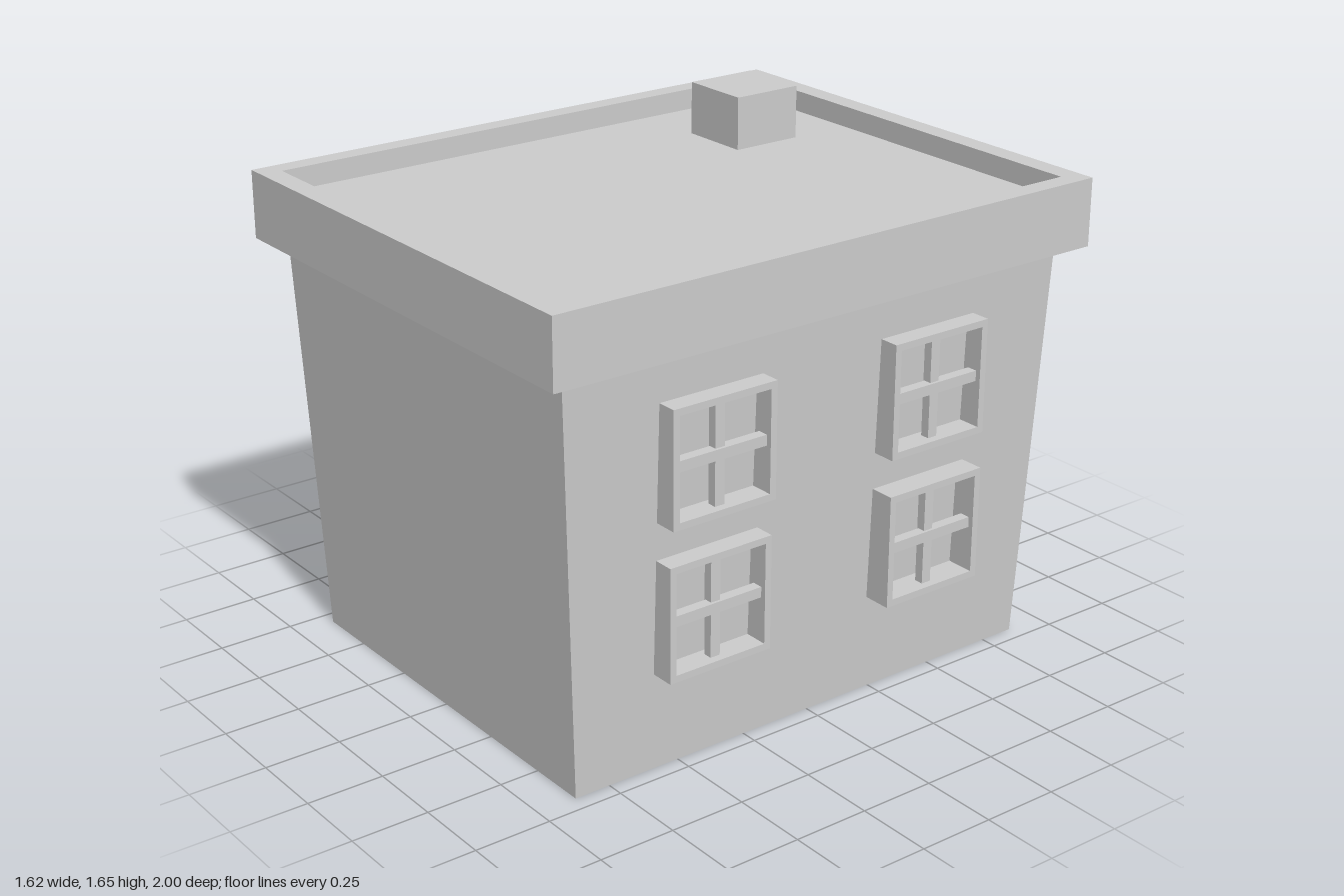
import * as THREE from 'three';

const grey = new THREE.MeshStandardMaterial({ color: 0xcccccc, flatShading: true });
const greyOpen = new THREE.MeshStandardMaterial({ color: 0xcccccc, flatShading: true, side: THREE.DoubleSide });

function addMesh(parent, name, geometry, material = grey) {
  const mesh = new THREE.Mesh(geometry, material);
  mesh.name = name;
  parent.add(mesh);
  return mesh;
}

// Rectangular shell through a list of [halfX, halfZ, y] sections, open at both ends
function rectShell(sections) {
  const corners = [[1, 1], [1, -1], [-1, -1], [-1, 1]];
  const point = (s, i) => {
    const [cx, cz] = corners[i % 4];
    return [s[0] * cx, s[2], s[1] * cz];
  };
  const positions = [];
  for (let k = 0; k < sections.length - 1; k++) {
    for (let i = 0; i < 4; i++) {
      const a = point(sections[k], i), b = point(sections[k], i + 1);
      const c = point(sections[k + 1], i + 1), d = point(sections[k + 1], i);
      positions.push(...a, ...b, ...c, ...a, ...c, ...d);
    }
  }
  const geometry = new THREE.BufferGeometry();
  geometry.setAttribute('position', new THREE.Float32BufferAttribute(positions, 3));
  geometry.computeVertexNormals();
  return geometry;
}

const wallTop = 1.33;
const wallX = (y) => 0.695 + (0.74 - 0.695) * y / wallTop;

function rectangle(PathType, half) {
  const path = new PathType();
  path.moveTo(-half, -half);
  path.lineTo(half, -half);
  path.lineTo(half, half);
  path.lineTo(-half, half);
  path.closePath();
  return path;
}

// Window on the +x wall: square frame whose back follows the sloping wall, plus crossed bars
function makeWindow(y, z, front) {
  const win = new THREE.Group();
  win.name = 'window';

  const shape = rectangle(THREE.Shape, 0.185);
  shape.holes.push(rectangle(THREE.Path, 0.163));
  const frame = new THREE.ExtrudeGeometry(shape, { depth: 1, bevelEnabled: false });
  frame.rotateY(Math.PI / 2);
  frame.translate(0, y, z);
  const pos = frame.attributes.position;
  for (let i = 0; i < pos.count; i++) {
    pos.setX(i, pos.getX(i) > 0.5 ? front : wallX(pos.getY(i)));
  }
  frame.computeVertexNormals();
  addMesh(win, 'windowFrame', frame);

  const across = addMesh(win, 'horizontalBar', new THREE.BoxGeometry(0.035, 0.034, 0.328));
  across.position.set(front - 0.035, y, z);
  const upright = addMesh(win, 'verticalBar', new THREE.BoxGeometry(0.03, 0.328, 0.034));
  upright.position.set(front - 0.042, y, z);
  return win;
}

export function createModel() {
  const model = new THREE.Group();
  model.name = 'house';

  // Walls flare outward towards the roof and are open underneath
  addMesh(model, 'walls', rectShell([[0.695, 0.87, 0], [0.74, 0.925, wallTop]]), greyOpen);

  // Overhanging parapet with a sunken roof deck
  addMesh(model, 'roofParapet', rectShell([
    [0.81, 1, wallTop], [0.81, 1, 1.55], [0.745, 0.93, 1.55], [0.745, 0.93, 1.48],
  ]), greyOpen);
  const deck = addMesh(model, 'roofDeck', new THREE.PlaneGeometry(1.49, 1.86), greyOpen);
  deck.rotation.x = -Math.PI / 2;
  deck.position.y = 1.48;

  // Chimney
  const chimney = addMesh(model, 'chimney', new THREE.BoxGeometry(0.245, 0.175, 0.245));
  chimney.position.set(-0.38, 1.5675, -0.595);

  // Four windows on the left wall; the lower front one is slightly shallower
  for (const y of [0.505, 0.995]) {
    for (const z of [0.41, -0.41]) {
      model.add(makeWindow(y, z, y < 0.6 && z > 0 ? 0.785 : 0.8));
    }
  }
  return model;
}
